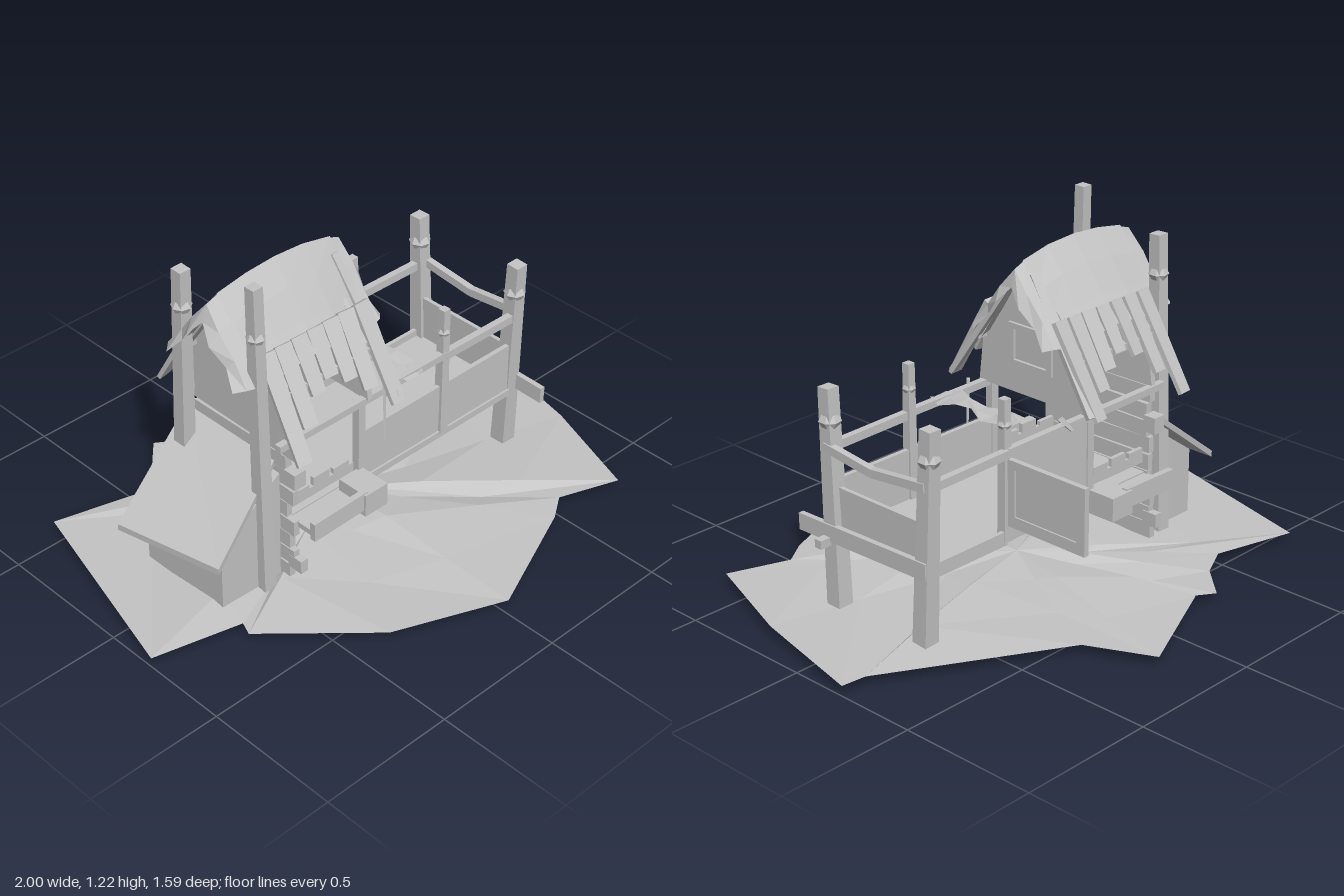
import * as THREE from 'three';

export function createModel() {
  const model = new THREE.Group();
  model.name = 'ruinedHutWithDeck';
  const grey = new THREE.MeshStandardMaterial({ color: 0xc4c4c4, flatShading: true, side: THREE.DoubleSide });
  grey.name = 'plainGrey';

  let seed = 7;
  const rnd = () => ((seed = (seed * 16807) % 2147483647) / 2147483647) - 0.5;
  const add = (name, geo) => {
    const m = new THREE.Mesh(geo, grey);
    m.name = name;
    model.add(m);
    return m;
  };
  const box = (name, x0, x1, y0, y1, z0, z1) => {
    const m = add(name, new THREE.BoxGeometry(x1 - x0, y1 - y0, z1 - z0));
    m.position.set((x0 + x1) / 2, (y0 + y1) / 2, (z0 + z1) / 2);
    return m;
  };
  // Beam of width w and depth d running from a to b; taper scales the far end
  const beam = (name, a, b, w, d, taper = 1) => {
    const A = new THREE.Vector3(...a), B = new THREE.Vector3(...b);
    const dir = B.clone().sub(A);
    const len = dir.length();
    dir.normalize();
    const g = new THREE.BoxGeometry(w, len, d);
    const p = g.attributes.position;
    for (let i = 0; i < p.count; i++) {
      if (p.getY(i) > 0) { p.setX(i, p.getX(i) * taper); p.setZ(i, p.getZ(i) * taper); }
    }
    const m = add(name, g);
    m.quaternion.setFromUnitVectors(new THREE.Vector3(0, 1, 0), dir);
    m.position.copy(A).add(B).multiplyScalar(0.5);
    return m;
  };
  // Faceted surface from a rule (i, j) -> [x, y, z]
  const sheet = (name, nu, nv, fn) => {
    const pos = [], idx = [];
    for (let i = 0; i <= nu; i++) for (let j = 0; j <= nv; j++) pos.push(...fn(i, j));
    for (let i = 0; i < nu; i++) for (let j = 0; j < nv; j++) {
      const a = i * (nv + 1) + j, b = a + nv + 1;
      idx.push(a, a + 1, b, b, a + 1, b + 1);
    }
    const g = new THREE.BufferGeometry();
    g.setAttribute('position', new THREE.Float32BufferAttribute(pos, 3));
    g.setIndex(idx);
    g.computeVertexNormals();
    return add(name, g);
  };
  // Flat wall in the z/y plane, with thickness along x
  const wall = (name, x, t, pts, hole) => {
    const s = new THREE.Shape(pts.map(([z, y]) => new THREE.Vector2(-z, y)));
    if (hole) s.holes.push(new THREE.Path(hole.map(([z, y]) => new THREE.Vector2(-z, y))));
    const m = add(name, new THREE.ExtrudeGeometry(s, { depth: t, bevelEnabled: false }));
    m.rotation.y = Math.PI / 2;
    m.position.x = x;
    return m;
  };
  const rect = (z0, z1, y0, y1) => [[z0, y0], [z1, y0], [z1, y1], [z0, y1]];

  // Uneven ground
  const rim = [[-1, 0.19], [-0.8, -0.56], [-0.5, -0.48], [-0.38, -0.54], [-0.27, -0.66], [-0.21, -0.62],
    [0.19, -0.8], [0.3, -0.57], [0.91, -0.22], [1, -0.21], [0.9, 0.24], [0.76, 0.63], [0.54, 0.55],
    [0.45, 0.61], [0.02, 0.79], [-0.37, 0.63], [-0.7, 0.32], [-0.68, 0.27]];
  const radii = [0, 0.3, 0.65, 1], lift = [0.065, 0.06, 0.045, 0.035];
  sheet('ground', rim.length, 3, (i, j) => {
    const [x, z] = rim[i % rim.length], k = radii[j];
    const bump = j === 1 || j === 2 ? 0.014 * Math.sin((i % rim.length) * 2.3 + j) : 0;
    return [x * k, lift[j] + bump, z * k];
  });

  // Posts with a swollen collar
  const post = (name, a, b, w, collarY) => {
    beam(name, a, b, w, w, 0.8);
    const t = (collarY - a[1]) / (b[1] - a[1]);
    const c = add(name + 'Collar', new THREE.SphereGeometry(w * 0.66, 7, 4));
    c.scale.y = 0.75;
    c.position.set(a[0] + (b[0] - a[0]) * t, collarY, a[2] + (b[2] - a[2]) * t);
  };
  post('towerFrontPost', [-0.505, 0.03, 0.19], [-0.51, 1.215, 0.17], 0.05, 1.03);
  post('towerBackPost', [-0.505, 0, -0.205], [-0.51, 1.12, -0.17], 0.055, 0.98);
  post('deckFrontPost', [0.645, 0.04, 0.185], [0.635, 0.8, 0.22], 0.06, 0.685);
  post('deckBackPost', [0.645, 0.03, -0.215], [0.635, 0.79, -0.24], 0.06, 0.685);
  post('railFrontPost', [0.285, 0.28, 0.215], [0.287, 0.78, 0.215], 0.036, 0.69);
  post('railBackPost', [0.285, 0.28, -0.22], [0.287, 0.78, -0.22], 0.036, 0.69);

  // Deck floor, side panels and rails
  box('deckFloor', -0.42, 0.63, 0.27, 0.295, -0.22, 0.21);
  box('frontPanel', -0.1, 0.62, 0.28, 0.475, 0.205, 0.222);
  box('frontPanelTrim', -0.1, 0.62, 0.265, 0.29, 0.2, 0.23);
  box('backPanel', -0.1, 0.29, 0.28, 0.61, -0.235, -0.22);
  box('backLowPanel', 0.29, 0.62, 0.27, 0.32, -0.235, -0.22);
  box('cornerPostFront', -0.12, -0.09, 0.27, 0.61, 0.2, 0.23);
  box('cornerPostBack', -0.12, -0.09, 0.27, 0.61, -0.24, -0.21);
  box('endPanel', 0.625, 0.64, 0.28, 0.46, -0.22, 0.2);
  beam('endBoard', [0.665, 0.3, 0.34], [0.665, 0.315, -0.25], 0.02, 0.06);
  beam('endBoardTip', [0.69, 0.275, 0.22], [0.69, 0.275, 0.19], 0.05, 0.03);
  for (const z of [0.22, -0.235]) {
    beam('sideRail', [-0.47, 0.605, z], [0.29, 0.6, z], 0.025, 0.025);
    beam('sideRailEnd', [0.29, 0.595, z], [0.635, 0.59, z], 0.03, 0.025);
  }
  beam('endRailHalf', [0.655, 0.6, 0.22], [0.655, 0.575, 0], 0.025, 0.03);
  beam('endRailHalf', [0.655, 0.575, 0], [0.655, 0.6, -0.24], 0.025, 0.03);

  // Open door panel at the back, with a raised frame
  box('door', 0.282, 0.292, 0.36, 0.565, -0.56, -0.26);
  wall('doorFrame', 0.278, 0.02, rect(-0.575, -0.245, 0.345, 0.58), rect(-0.54, -0.275, 0.385, 0.55));

  // Tattered boards lying across the rails
  sheet('brokenBoard', 6, 2, (i, j) => [
    0.08 + j * 0.045 + 0.015 * Math.sin(i * 2.1 + j * 2), 0.615 + 0.012 * Math.sin(i * 1.7 + j), -0.14 + i * 0.065]);
  beam('hangingSplinter', [-0.01, 0.63, 0.235], [-0.008, 0.41, 0.24], 0.018, 0.012, 0.5);
  beam('backSplinter', [0.0, 0.61, -0.2], [0.055, 0.62, -0.3], 0.02, 0.012, 0.5);

  // Side trays beside the hut
  for (const s of [1, -1]) {
    const zz = (a, b) => (s > 0 ? [a, b] : [-b, -a]);
    box('trayFloor', -0.41, -0.11, 0.27, 0.29, ...zz(0.2, 0.33));
    beam('trayFront', [-0.42, 0.3, s * 0.325], [-0.18, 0.305, s * 0.325], 0.07, 0.022);
    box('trayBlock', -0.2, -0.1, 0.25, 0.335, ...zz(0.22, 0.345));
    box('trayBack', -0.4, -0.13, 0.33, 0.365, ...zz(0.2, 0.215));
    for (let i = 0; i < 3; i++) box('trayLip', -0.4 + i * 0.09, -0.33 + i * 0.09, 0.36, 0.39 + 0.02 * rnd(), ...zz(0.2, 0.215));
  }

  // Plank wall below the hut's far gable
  for (let i = 0; i < 9; i++) {
    const y = 0.05 + i * 0.063;
    const a = 0.235 + 0.06 * rnd(), b = 0.235 + 0.06 * rnd();
    box('wallPlank', -0.432 + 0.01 * rnd(), -0.405, y, y + 0.058, -b, a).rotation.x = 0.04 * rnd();
  }
  for (const s of [1, -1]) {
    box('wallStub', -0.43, -0.4, 0.1, 0.15, s * 0.25 - 0.03, s * 0.25 + 0.03);
    box('wallBracket', -0.445, -0.395, 0.45, 0.51, s * 0.245 - 0.025, s * 0.245 + 0.025);
  }

  // Gable walls, the near one with a framed window
  const gable = [[-0.24, 0.61], [0.24, 0.61], [0.215, 0.82], [0.12, 0.94], [0, 1.04], [-0.12, 0.94], [-0.215, 0.82]];
  wall('farGable', -0.43, 0.02, gable);
  wall('nearGable', -0.09, 0.02, gable);
  wall('windowFrame', -0.073, 0.014, rect(-0.1, 0.095, 0.71, 0.86), rect(-0.075, 0.07, 0.73, 0.84));

  // Curved roof cover: ridge dips toward both ends
  const zs = [-0.195, -0.13, -0.065, 0, 0.065, 0.13, 0.195];
  const drop = [0.27, 0.18, 0.085, 0, 0.085, 0.18, 0.27];
  const xs = [-0.51, -0.39, -0.27, -0.15, -0.03];
  const ridge = [1.11, 1.13, 1.137, 1.13, 1.105];
  const skew = [0, 0, 0, -0.01, -0.025];
  for (const inset of [0, 0.022]) {
    sheet(inset ? 'roofUnderside' : 'roofCover', 4, 6, (i, j) =>
      [xs[i], ridge[i] - drop[j] - inset + skew[i] * Math.abs(j - 3) / 3, zs[j] * (1 - inset)]);
  }
  // Drooping lips at both roof ends
  const lip = (name, x0, x1, top) => sheet(name, 2, 6, (i, j) => [
    x0 + (x1 - x0) * [0, 0.65, 1][i] * (1 - (j % 2) * 0.12 * i),
    top - [0.012, 0.03, 0.09][i] - drop[j] * [0.95, 0.85, 0.66][i],
    zs[j] * [1, 0.95, 0.8][i]]);
  lip('leftRoofLip', -0.5, -0.595, 1.12);
  lip('rightRoofLip', -0.04, 0.045, 1.115);

  // Ragged roof planks flaring below the cover
  const ends = [0.605, 0.69, 0.76, 0.785, 0.75, 0.7, 0.625];
  for (const s of [1, -1]) {
    ends.forEach((y, i) => {
      const x = -0.455 + i * 0.068, z = 0.15 + (0.93 - y) * 0.58;
      beam('roofPlank', [x + 0.005, 0.93, s * 0.15], [x + 0.02 * rnd(), y, s * z], 0.062, 0.018, 0.85);
    });
    beam('roofPurlin', [-0.46, 0.79, s * 0.215], [-0.03, 0.79, s * 0.215], 0.025, 0.025);
    beam('bargeBoard', [-0.045, 1.06, s * 0.03], [-0.02, 0.64, s * 0.315], 0.03, 0.02);
    beam('bargeBoard', [-0.46, 1.06, s * 0.03], [-0.46, 0.7, s * 0.28], 0.03, 0.02);
  }

  // Lean-to shed with a skewed slanting roof
  const side = new THREE.Shape([[-0.685, 0.04], [-0.42, 0.04], [-0.42, 0.47], [-0.685, 0.28]].map(p => new THREE.Vector2(...p)));
  const shed = add('leanTo', new THREE.ExtrudeGeometry(side, { depth: 0.37, bevelEnabled: false }));
  shed.position.z = -0.19;
  const slab = new THREE.BoxGeometry(1, 1, 1);
  const sp = slab.attributes.position;
  for (let i = 0; i < sp.count; i++) {
    const inner = sp.getX(i) > 0, front = sp.getZ(i) > 0;
    sp.setXYZ(i, inner ? -0.43 : front ? -0.74 : -0.8,
      (inner ? 0.485 : front ? 0.25 : 0.215) + (sp.getY(i) > 0 ? 0.024 : 0),
      inner ? (front ? 0.16 : -0.265) : (front ? 0.23 : -0.2));
  }
  add('leanToRoof', slab);

  return model;
}
